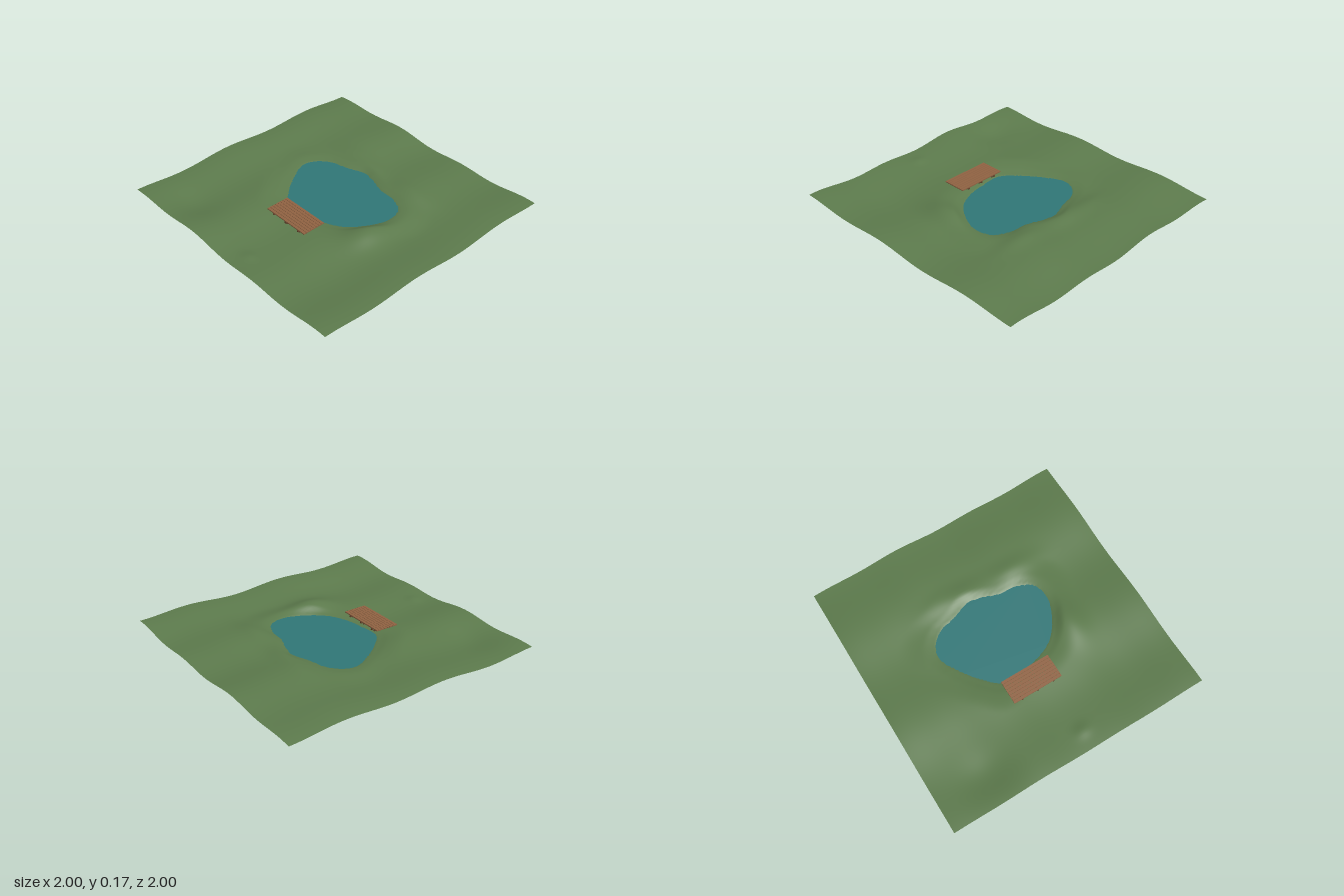
import * as THREE from 'three';

const WATER_Y = 0.115;
const CENTER_Z = -0.05;

// Pond shoreline, as x and z pairs
const shore = new THREE.CatmullRomCurve3([
  [-0.465, -0.11], [-0.44, -0.21], [-0.36, -0.28], [-0.22, -0.32], [-0.08, -0.37], [0.03, -0.35],
  [0.14, -0.31], [0.3, -0.29], [0.4, -0.23], [0.43, -0.1], [0.38, 0.04], [0.28, 0.17],
  [0.15, 0.24], [0, 0.27], [-0.18, 0.275], [-0.29, 0.18], [-0.38, 0.06],
].map(([x, z]) => new THREE.Vector3(x, 0, z - CENTER_Z)), true);
const shorePoints = shore.getPoints(240);

// Shore radius by angle, kept in a lookup table
const STEPS = 360;
const angleOf = (x, z) => (Math.atan2(z, x) + Math.PI * 2) % (Math.PI * 2);
const radii = Array.from({ length: STEPS }, (_, i) => {
  const a = (i / STEPS) * Math.PI * 2;
  let best = null, gap = -2;
  for (const p of shorePoints) {
    const c = (p.x * Math.cos(a) + p.z * Math.sin(a)) / Math.hypot(p.x, p.z);
    if (c > gap) { gap = c; best = p; }
  }
  return Math.hypot(best.x, best.z);
});
function shoreRadius(x, z) {
  const t = (angleOf(x, z) / (Math.PI * 2)) * STEPS, i = Math.floor(t);
  return THREE.MathUtils.lerp(radii[i % STEPS], radii[(i + 1) % STEPS], t - i);
}

const bump = (x, z, cx, cz, sx, sz, h) => h * Math.exp(-(((x - cx) / sx) ** 2) - ((z - cz) / sz) ** 2);

// Ground height: rolling waves, banks round the pond, and the pond bowl
function groundHeight(x, z) {
  const dz = z - CENTER_Z;
  const k = Math.hypot(x, dz) / shoreRadius(x, dz);
  if (k < 1) return WATER_Y * k * k;
  const waves = 0.129 - 0.01 * Math.cos(10.13 * x) - 0.009 * Math.sin(Math.PI * x)
    + 0.012 * Math.sin(7.85 * z) + 0.009 * z
    + 0.005 * Math.sin(5 * x + 3 * z + 0.57)
    + bump(x, z, 0.1, 0.86, 0.06, 0.05, 0.01)
    + bump(x, z, -0.62, 0.78, 0.2, 0.15, -0.022);
  const banks = bump(x, z, -0.12, -0.45, 0.22, 0.08, 0.022)
    + bump(x, z, 0.32, -0.42, 0.2, 0.08, 0.02)
    + bump(x, z, 0.46, 0.13, 0.12, 0.18, 0.04);
  const rolling = THREE.MathUtils.lerp(0.126, waves, THREE.MathUtils.smoothstep(k, 1, 1.6));
  const land = Math.min(rolling + banks, 0.176);
  return THREE.MathUtils.lerp(WATER_Y, land, THREE.MathUtils.smoothstep(k, 0.95, 1.22));
}

export function createModel() {
  const group = new THREE.Group();
  const material = (name, color, side = THREE.FrontSide) => {
    const m = new THREE.MeshStandardMaterial({ color, side });
    m.name = name;
    return m;
  };
  const grass = material('grass green', 0x5c7a4c, THREE.DoubleSide);
  const waterBlue = material('water blue', 0x307676, THREE.DoubleSide);
  const plankWood = material('plank brown', 0x8f6242);
  const beamWood = material('beam brown', 0x66432c);

  const add = (parent, name, geometry, mat, x = 0, y = 0, z = 0) => {
    const mesh = new THREE.Mesh(geometry, mat);
    mesh.name = name;
    mesh.position.set(x, y, z);
    parent.add(mesh);
  };

  // Ground sheet
  const ground = new THREE.PlaneGeometry(2, 2, 110, 110).rotateX(-Math.PI / 2);
  const pos = ground.attributes.position;
  for (let i = 0; i < pos.count; i++) pos.setY(i, groundHeight(pos.getX(i), pos.getZ(i)));
  ground.computeVertexNormals();
  add(group, 'ground', ground, grass);

  // Water surface, tucked under the back and side banks
  const outline = new THREE.Shape(shorePoints.slice(0, -1).map((p) => {
    const s = 1.01 + 0.08 * THREE.MathUtils.smoothstep(0.15 - p.z, 0, 0.15);
    return new THREE.Vector2(p.x * s, -p.z * s);
  }));
  add(group, 'water', new THREE.ShapeGeometry(outline).rotateX(-Math.PI / 2), waterBlue, 0, WATER_Y, CENTER_Z);

  // Dock: planks along x, cross beams and posts below
  const dock = new THREE.Group();
  dock.name = 'dock';
  group.add(dock);
  const plank = new THREE.BoxGeometry(0.385, 0.008, 0.0205);
  for (let i = 0; i < 8; i++) add(dock, 'plank', plank, plankWood, -0.003, 0.153, 0.287 + i * 0.0229);
  const beam = new THREE.BoxGeometry(0.012, 0.012, 0.185);
  const post = new THREE.CylinderGeometry(0.006, 0.006, 0.062, 8);
  for (const x of [-0.13, -0.003, 0.125]) {
    add(dock, 'beam', beam, beamWood, x, 0.143, 0.367);
    for (const z of [0.305, 0.44]) add(dock, 'post', post, beamWood, x, 0.117, z);
  }
  return group;
}
